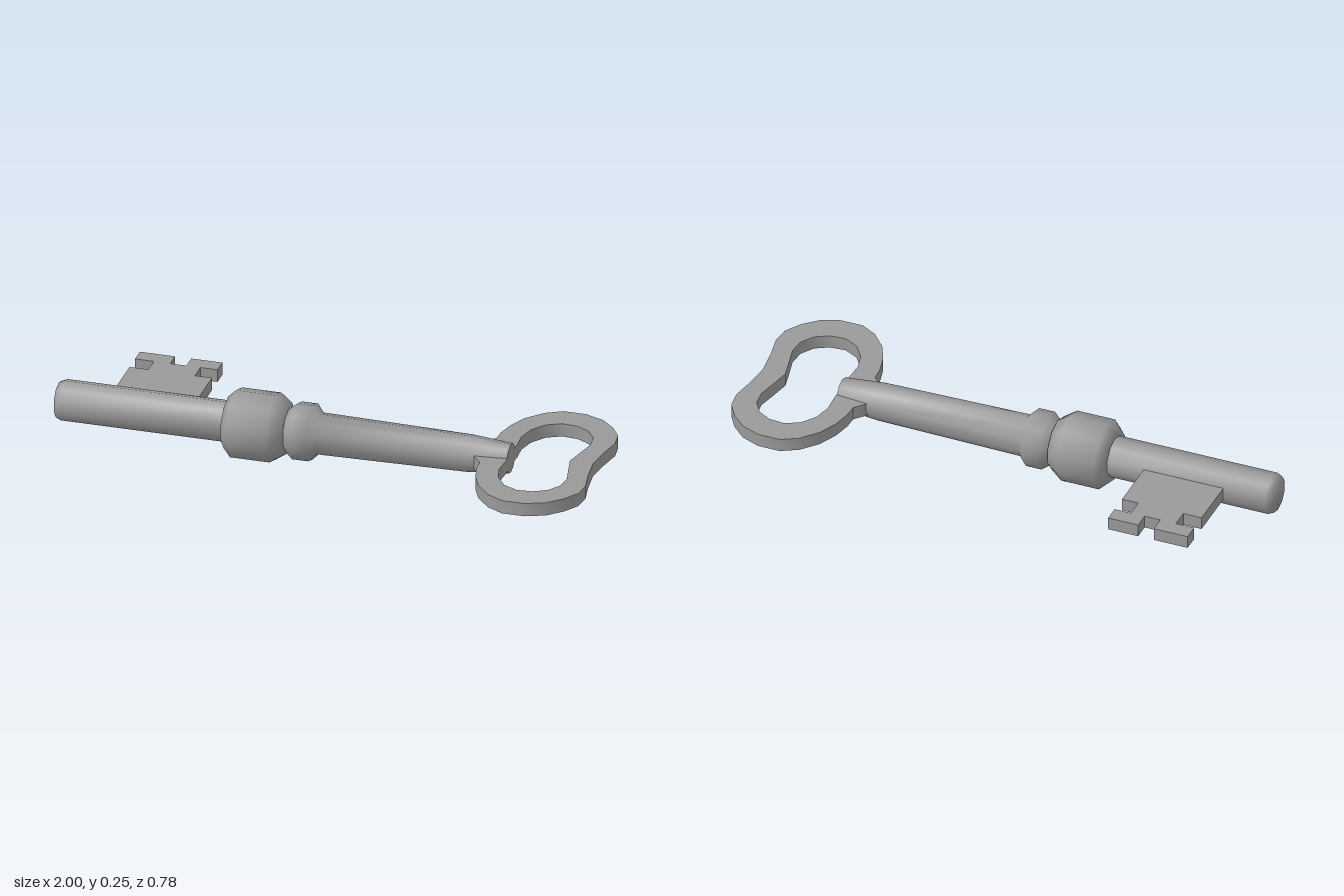
import * as THREE from 'three';
import { toCreasedNormals } from 'three/addons/utils/BufferGeometryUtils.js';

const material = new THREE.MeshStandardMaterial({ color: 0x999999 });
const AXIS_Y = 0.129, AXIS_Z = 0.009;

const vectors = (pts) => pts.map(([x, y]) => new THREE.Vector2(x, y));

// half outline [x, distance from axis] mirrored into a closed counter-clockwise loop
const mirrored = (half) => vectors([
  ...half.map(([x, d]) => [x, -d]),
  ...half.filter(([, d]) => d !== 0).reverse(),
]);

function addMesh(group, name, geometry, crease) {
  const mesh = new THREE.Mesh(toCreasedNormals(geometry, crease), material);
  mesh.name = name;
  group.add(mesh);
  return mesh;
}

// flat plate lying in the xz plane, centred on its own thickness
function plate(shape, thickness) {
  return new THREE.ExtrudeGeometry(shape, { depth: thickness, bevelEnabled: false })
    .translate(0, 0, -thickness / 2)
    .rotateX(-Math.PI / 2);
}

export function createModel() {
  const key = new THREE.Group();
  key.name = 'key';

  // turned shaft with collar and ring: [x, radius]
  const profile = [
    [-1, 0], [-1, 0.066], [-0.98, 0.075],
    [-0.375, 0.075], [-0.375, 0.097], [-0.345, 0.127], [-0.2, 0.127], [-0.155, 0.096],
    [-0.15, 0.08], [-0.12, 0.105], [-0.06, 0.105], [-0.035, 0.076],
    [0.52, 0.068], [0.67, 0.055], [0.67, 0],
  ];
  const lathe = new THREE.LatheGeometry(vectors(profile.map(([x, r]) => [r, x])), 10, Math.PI / 2);
  lathe.rotateZ(-Math.PI / 2);
  addMesh(key, 'shaft', lathe, 1.2).position.set(0, AXIS_Y, AXIS_Z);

  // bow: two-lobed loop with a flared tang
  const outer = [
    [0.545, 0.05], [0.556, 0.068], [0.586, 0.102], [0.588, 0.15], [0.604, 0.219],
    [0.636, 0.288], [0.69, 0.349], [0.75, 0.382], [0.834, 0.382], [0.904, 0.354],
    [0.957, 0.304], [0.993, 0.246], [1, 0.182], [0.984, 0.096], [0.973, 0],
  ];
  const inner = [
    [0.668, 0], [0.672, 0.07], [0.668, 0.138], [0.684, 0.203], [0.722, 0.256],
    [0.775, 0.283], [0.834, 0.278], [0.882, 0.251], [0.914, 0.203], [0.92, 0.144],
    [0.904, 0.075], [0.888, 0],
  ];
  const bowShape = new THREE.Shape(mirrored(outer));
  bowShape.holes.push(new THREE.Path(mirrored(inner)));
  const bow = addMesh(key, 'bow', plate(bowShape, 0.05), 0.6);
  bow.position.set(0, 0.1255, AXIS_Z);
  bow.rotation.x = -0.009;

  // bit: notched blade reaching back from the shaft, [x, distance behind centre]
  const bitShape = new THREE.Shape(vectors([
    [-0.82, 0], [-0.515, 0], [-0.515, 0.262], [-0.578, 0.262], [-0.578, 0.33],
    [-0.515, 0.33], [-0.515, 0.39], [-0.63, 0.39], [-0.63, 0.33], [-0.69, 0.33],
    [-0.69, 0.39], [-0.82, 0.39], [-0.82, 0.33], [-0.75, 0.33], [-0.75, 0.262],
    [-0.82, 0.262],
  ]));
  addMesh(key, 'bit', plate(bitShape, 0.048), 0.5).position.y = AXIS_Y;

  return key;
}
